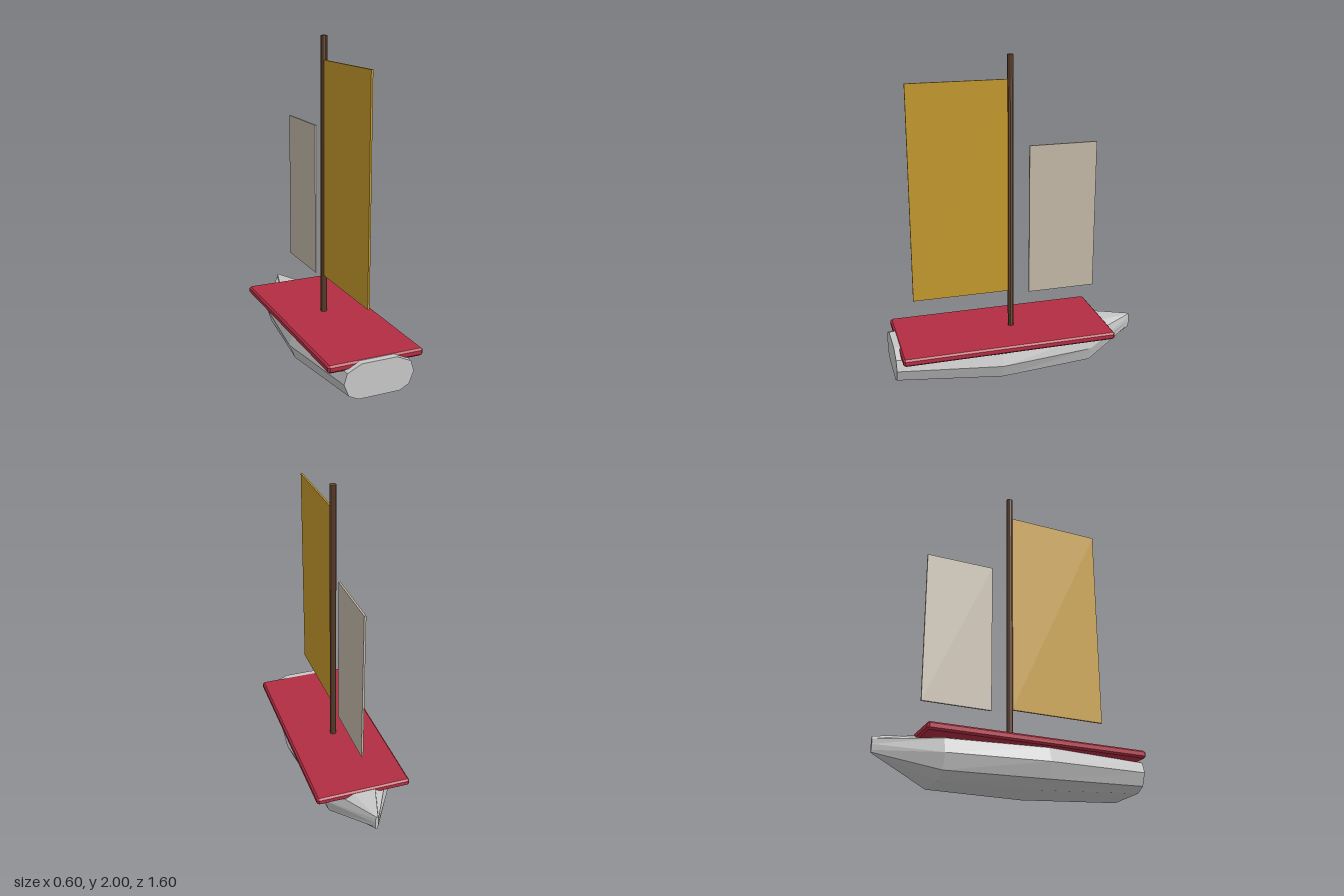
import * as THREE from 'three';

function material(name, color) {
  const m = new THREE.MeshStandardMaterial({ color });
  m.name = name;
  return m;
}

// Joins ten-sided cross-sections from stern to bow, with both ends closed.
function loft(sections) {
  const rings = sections.map(({ z, half }) => [
    ...half.map(([x, y]) => new THREE.Vector3(x, y, z)),
    ...half.slice().reverse().map(([x, y]) => new THREE.Vector3(-x, y, z)),
  ]);
  const positions = [];
  const tri = (...corners) => corners.forEach((p) => positions.push(p.x, p.y, p.z));
  const n = rings[0].length;
  for (let s = 0; s < rings.length - 1; s++) {
    const a = rings[s], b = rings[s + 1];
    for (let i = 0; i < n; i++) {
      const j = (i + 1) % n;
      tri(a[i], b[i], b[j]);
      tri(a[i], b[j], a[j]);
    }
  }
  const stern = rings[0], bow = rings[rings.length - 1];
  for (let i = 1; i < n - 1; i++) {
    tri(stern[0], stern[i], stern[i + 1]);
    tri(bow[0], bow[i + 1], bow[i]);
  }
  const g = new THREE.BufferGeometry();
  g.setAttribute('position', new THREE.Float32BufferAttribute(positions, 3));
  g.computeVertexNormals();
  return g;
}

// Flat slab with every edge chamfered.
function chamferedSlab(w, h, d, c) {
  const x = w / 2 - c, z = d / 2 - c, k = c * 0.5;
  const shape = new THREE.Shape([
    [x - k, -z], [x, -z + k], [x, z - k], [x - k, z],
    [-x + k, z], [-x, z - k], [-x, -z + k], [-x + k, -z],
  ].map(([a, b]) => new THREE.Vector2(a, b)));
  const g = new THREE.ExtrudeGeometry(shape, {
    depth: h - 2 * c, bevelThickness: c, bevelSize: c, bevelSegments: 1,
  });
  g.translate(0, 0, c - h / 2);
  g.rotateX(-Math.PI / 2);
  return g;
}

export function createModel() {
  const model = new THREE.Group();
  const grey = material('hull grey', 0xc6c6c6);
  const red = material('deck red', 0xb22d42);
  const brown = material('mast brown', 0x6b4c36);
  const gold = material('sail gold', 0xc2982b);
  const cream = material('sail cream', 0xc2b7a6);

  const add = (name, geometry, mat, x, y, z) => {
    const mesh = new THREE.Mesh(geometry, mat);
    mesh.name = name;
    mesh.position.set(x, y, z);
    model.add(mesh);
  };

  // Faceted hull; each half section runs from keel up to deck
  add('hull', loft([
    { z: 0.8, half: [[0.13, 0.05], [0.19, 0.08], [0.22, 0.155], [0.2, 0.22], [0.11, 0.262]] },
    { z: 0.15, half: [[0.13, 0.005], [0.25, 0.04], [0.288, 0.13], [0.26, 0.217], [0.15, 0.262]] },
    { z: -0.45, half: [[0.1, 0], [0.185, 0.04], [0.215, 0.13], [0.195, 0.215], [0.11, 0.262]] },
    { z: -0.8, half: [[0.005, 0.145], [0.008, 0.157], [0.01, 0.19], [0.009, 0.22], [0.005, 0.236]] },
  ]), grey, 0, 0, 0);

  // Deck
  add('deck', chamferedSlab(0.6, 0.046, 1.35, 0.011), red, 0, 0.242, 0.093);

  // Mast
  const mast = new THREE.CylinderGeometry(0.02, 0.02, 1.76, 10).toNonIndexed();
  mast.computeVertexNormals();
  add('mast', mast, brown, 0, 1.12, 0.025);

  // Sails
  add('mainSail', new THREE.BoxGeometry(0.012, 1.348, 0.615), gold, 0, 1.182, 0.345);
  add('headSail', new THREE.BoxGeometry(0.012, 0.962, 0.435), cream, 0, 0.965, -0.313);

  return model;
}
